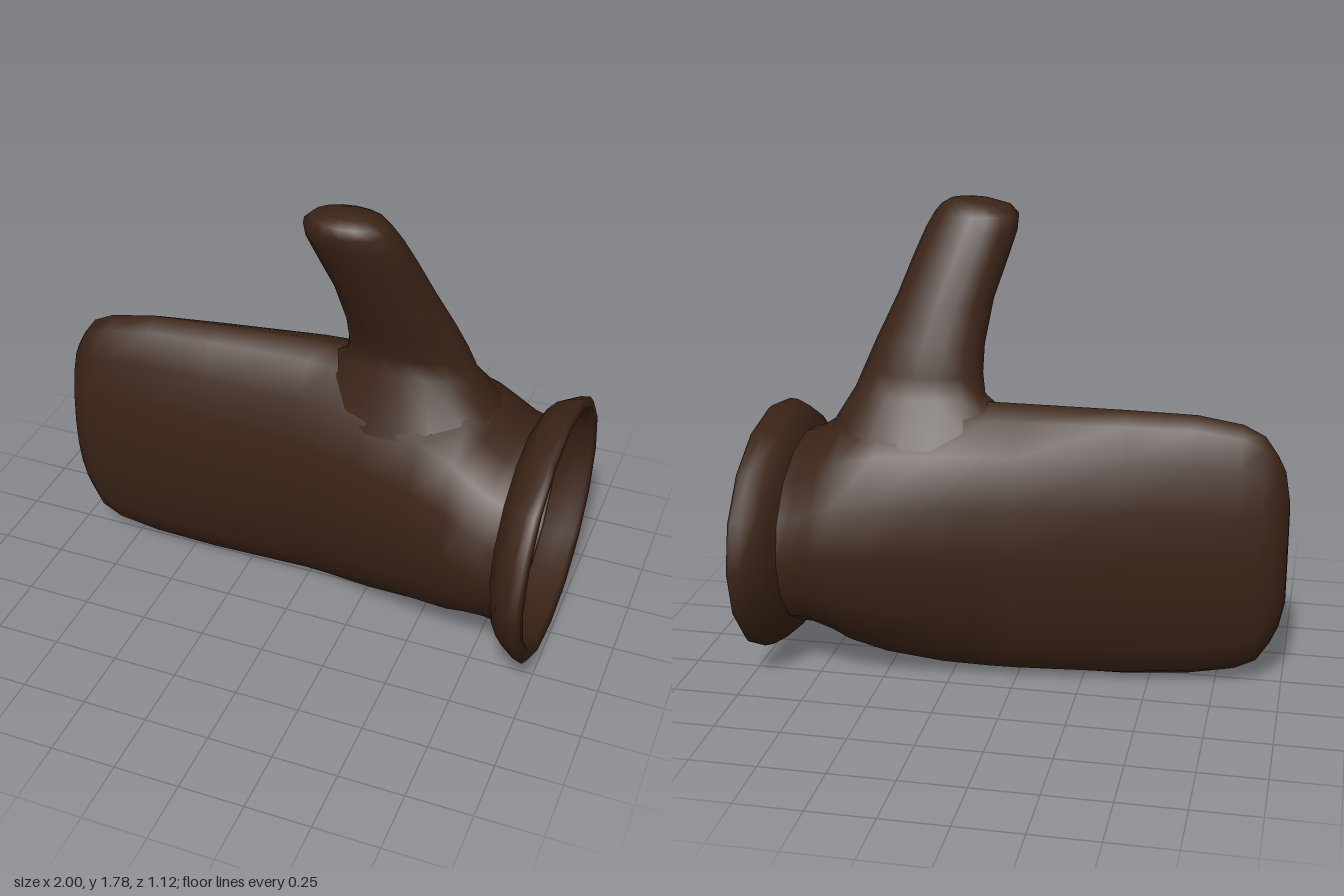
import * as THREE from 'three';

const SIDES = 16;
const leather = new THREE.MeshStandardMaterial({ color: 0x3a2316, side: THREE.DoubleSide });

// Smooth skin over a list of closed rings
function loft(name, rings) {
  const index = [];
  for (let r = 0; r < rings.length - 1; r++) {
    for (let s = 0; s < SIDES; s++) {
      const t = (s + 1) % SIDES;
      const a = r * SIDES + s, b = r * SIDES + t, c = a + SIDES, d = b + SIDES;
      index.push(a, b, c, b, d, c);
    }
  }
  const geometry = new THREE.BufferGeometry();
  geometry.setAttribute('position', new THREE.Float32BufferAttribute(rings.flat(2), 3));
  geometry.setIndex(index);
  geometry.computeVertexNormals();
  const mesh = new THREE.Mesh(geometry, leather);
  mesh.name = name;
  return mesh;
}

const around = (fn) => Array.from({ length: SIDES }, (_, i) => fn(i / SIDES * Math.PI * 2));

// Upright ring across x, given its bottom, top, back and front limits
const xRing = ([x, y0, y1, z0, z1]) => around((a) => [
  x,
  (y0 + y1) / 2 + (y1 - y0) / 2 * Math.cos(a),
  (z0 + z1) / 2 + (z1 - z0) / 2 * Math.sin(a),
]);

// Level ring across y, given its x and z limits
const yRing = ([y, x0, x1, z0, z1]) => around((a) => [
  (x0 + x1) / 2 + (x1 - x0) / 2 * Math.sin(a),
  y,
  (z0 + z1) / 2 + (z1 - z0) / 2 * Math.cos(a),
]);

// Hand sections: x, bottom, top, back, front
const hand = [
  [-1, 0.54, 0.54, 0, 0],
  [-1, 0.34, 0.74, -0.05, 0.03],
  [-0.98, 0.24, 0.86, -0.09, 0.07],
  [-0.95, 0.17, 0.92, -0.12, 0.1],
  [-0.9, 0.09, 0.99, -0.14, 0.125],
  [-0.82, 0.05, 1.03, -0.155, 0.14],
  [-0.65, 0.02, 1.06, -0.185, 0.15],
  [-0.4, 0.005, 1.07, -0.235, 0.16],
  [0, 0.01, 1.08, -0.32, 0.19],
  [0.1, 0.012, 1.08, -0.34, 0.21],
  [0.28, 0.02, 1.08, -0.38, 0.265],
  [0.5, 0.05, 1.07, -0.425, 0.33],
  [0.65, 0.09, 1.02, -0.44, 0.38],
  [0.72, 0.125, 0.97, -0.438, 0.398],
  [0.8, 0.15, 0.915, -0.432, 0.412],
  [0.85, 0.15, 0.9, -0.43, 0.42],
];

// Height of the hand's upper surface, for seating the thumb on it
function handTop(x, z) {
  const i = hand.findIndex((s) => s[0] > x);
  const f = (x - hand[i - 1][0]) / (hand[i][0] - hand[i - 1][0]);
  const [, y0, y1, z0, z1] = hand[i].map((v, k) => THREE.MathUtils.lerp(hand[i - 1][k], v, f));
  const u = (2 * z - z0 - z1) / (z1 - z0);
  return (y0 + y1) / 2 + (y1 - y0) / 2 * Math.sqrt(Math.max(0, 1 - u * u));
}

export function createModel() {
  const group = new THREE.Group();
  group.name = 'mitten';

  group.add(loft('hand', hand.map(xRing)));

  // Flared cuff rolling over its rim to the opening
  const cuff = [
    [0.85, 0.15, 0.9, -0.43, 0.42],
    [0.87, 0.12, 0.94, -0.47, 0.47],
    [0.9, 0.08, 0.97, -0.515, 0.515],
    [0.95, 0.05, 0.99, -0.55, 0.55],
    [0.985, 0.04, 0.993, -0.56, 0.56],
    [1, 0.055, 0.98, -0.545, 0.545],
    [1, 0.085, 0.96, -0.51, 0.51],
    [0.985, 0.1, 0.945, -0.49, 0.49],
    [0.94, 0.115, 0.935, -0.475, 0.475],
    [0.87, 0.155, 0.9, -0.425, 0.425],
  ];
  group.add(loft('cuff', cuff.map(xRing)));

  // Inside wall, just within the hand, running back from the opening
  const inset = hand.map(([x, y0, y1, z0, z1], i) => i === 0
    ? [x + 0.02, y0, y1, z0, z1]
    : [x + 0.02, y0 + 0.015, y1 - 0.015, z0 + 0.015, z1 - 0.015]);
  group.add(loft('lining', inset.reverse().map(xRing)));

  // Thumb: a skirt that follows the hand, then level sections leaning forward
  const skirt = yRing([0, 0.1, 0.73, -0.29, 0.21]).map(([x, , z]) => [x, handTop(x, z) - 0.006, z]);
  const thumb = [
    [1.1, 0.14, 0.64, -0.165, 0.105],
    [1.18, 0.15, 0.605, -0.15, 0.11],
    [1.28, 0.15, 0.565, -0.115, 0.14],
    [1.44, 0.127, 0.495, -0.055, 0.198],
    [1.58, 0.085, 0.445, 0.005, 0.252],
    [1.68, 0.057, 0.405, 0.05, 0.29],
    [1.735, 0.055, 0.375, 0.08, 0.3],
    [1.765, 0.085, 0.35, 0.105, 0.285],
    [1.785, 0.16, 0.315, 0.145, 0.25],
    [1.79, 0.24, 0.24, 0.2, 0.2],
  ];
  group.add(loft('thumb', [skirt, ...thumb.map(yRing)]));

  return group;
}
